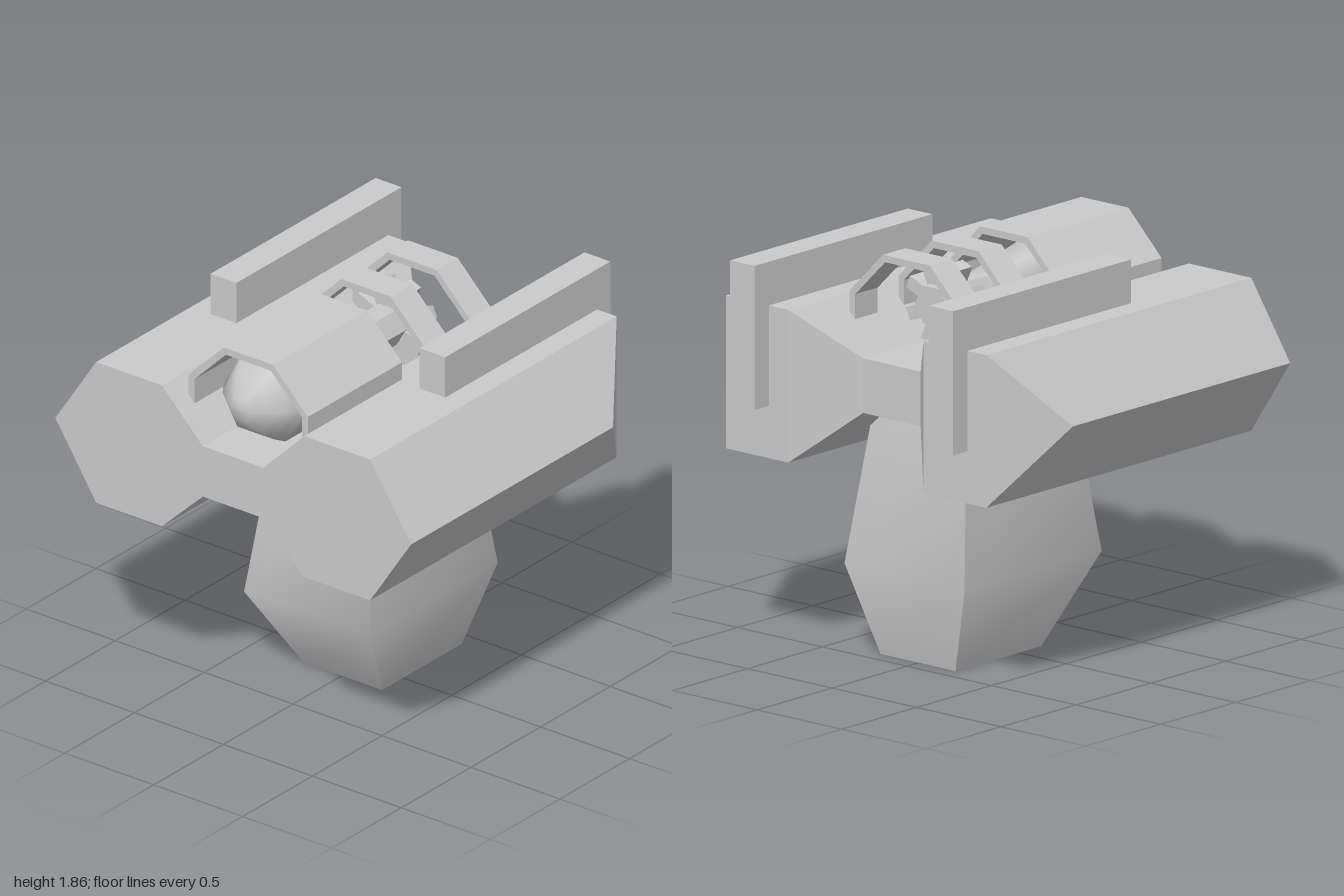
import * as THREE from 'three';
import { toCreasedNormals } from 'three/addons/utils/BufferGeometryUtils.js';

const flat = new THREE.MeshStandardMaterial({ color: 0xcccccc, flatShading: true, side: THREE.DoubleSide });
const smooth = new THREE.MeshStandardMaterial({ color: 0xcccccc, side: THREE.DoubleSide });

function add(parent, name, geometry, material, x = 0, y = 0, z = 0) {
  const mesh = new THREE.Mesh(geometry, material);
  mesh.name = name;
  mesh.position.set(x, y, z);
  parent.add(mesh);
  return mesh;
}

// Twin-pod body: one outline run from the flat front to a faceted back
function bodyGeometry() {
  const outline = [
    [-0.17, 1.15], [0.17, 1.15], [0.4, 0.93], [0.77, 0.93], [1, 1.28], [0.77, 1.63], [0.4, 1.63],
    [0.17, 1.4], [-0.17, 1.4], [-0.4, 1.63], [-0.77, 1.63], [-1, 1.28], [-0.77, 0.93], [-0.4, 0.93],
  ];
  const capCells = [[0, 1, 7, 8], [1, 2, 6, 7], [2, 3, 5, 6], [3, 4, 5], [13, 0, 8, 9], [12, 13, 9, 10], [11, 12, 10]];
  const backZ = (x) => (Math.abs(x) > 0.9 ? -0.52 : Math.abs(x) < 0.2 ? -0.6 : -0.84);
  const front = outline.map(([x, y]) => [x, y, 0.93]);
  const back = outline.map(([x, y]) => [x, y, backZ(x)]);
  const positions = [];
  const face = (pts) => {
    for (let i = 1; i < pts.length - 1; i++) positions.push(...pts[0], ...pts[i], ...pts[i + 1]);
  };
  outline.forEach((_, i) => {
    const j = (i + 1) % outline.length;
    face([front[i], back[i], back[j], front[j]]);
  });
  for (const cell of capCells) {
    face(cell.map((i) => front[i]));
    face(cell.map((i) => back[i]).reverse());
  }
  const g = new THREE.BufferGeometry();
  g.setAttribute('position', new THREE.Float32BufferAttribute(positions, 3));
  g.computeVertexNormals();
  return g;
}

// Tapered grip: a box whose three rows of corners are moved to their sections
function gripGeometry() {
  const rows = [
    { y: 0, half: 0.222, back: -0.42, front: 0.15 },
    { y: 0.41, half: 0.355, back: -0.51, front: 0.405 },
    { y: 1.2, half: 0.265, back: -0.395, front: 0.29 },
  ];
  const g = new THREE.BoxGeometry(2, 2, 2, 1, 2, 1);
  const p = g.attributes.position;
  for (let i = 0; i < p.count; i++) {
    const row = rows[Math.round(p.getY(i)) + 1];
    p.setXYZ(i, p.getX(i) * row.half, row.y, p.getZ(i) > 0 ? row.front : row.back);
  }
  return toCreasedNormals(g, 0.85);
}

// Upper half of an octagonal ring, extruded along z
function hoodGeometry(length) {
  const arch = (r, base) => {
    const c = r * Math.tan(Math.PI / 8);
    return [[r, base], [r, c], [c, r], [-c, r], [-r, c], [-r, base]];
  };
  const points = [...arch(0.335, -0.06), ...arch(0.303, -0.06).reverse()];
  const shape = new THREE.Shape(points.map(([x, y]) => new THREE.Vector2(x, y)));
  return new THREE.ExtrudeGeometry(shape, { depth: length, bevelEnabled: false });
}

// Six-sided turned part lying along z, given as [radius, z] pairs
function turned(profile) {
  const g = new THREE.LatheGeometry(profile.map(([r, z]) => new THREE.Vector2(r, z)), 6, Math.PI / 6);
  return g.rotateX(Math.PI / 2);
}

export function createModel() {
  const model = new THREE.Group();
  model.name = 'twinPodDevice';

  add(model, 'body', bodyGeometry(), flat);
  add(model, 'grip', gripGeometry(), smooth, 0.005);

  // L-shaped rails over the pods, hooked down their back ends
  const rail = new THREE.Shape([[-0.25, 1.62], [-0.25, 1.83], [0.935, 1.83], [0.935, 1.17], [0.835, 1.17], [0.835, 1.62]]
    .map(([x, y]) => new THREE.Vector2(x, y)));
  const railGeometry = new THREE.ExtrudeGeometry(rail, { depth: 0.145, bevelEnabled: false });
  railGeometry.translate(0, 0, -0.0725).rotateY(Math.PI / 2);
  for (const side of [1, -1]) add(model, side > 0 ? 'leftRail' : 'rightRail', railGeometry, flat, side * 0.587);

  // Hoods arching over the core
  const hoods = [['frontHood', 0.15, 0.825], ['middleHood', -0.175, -0.02], ['rearHood', -0.5, -0.35]];
  for (const [name, z0, z1] of hoods) add(model, name, hoodGeometry(z1 - z0), flat, 0.003, 1.525, z0);

  // Core: rounded nose, tapering casing, plain tail and ring of fins
  const core = new THREE.Group();
  core.name = 'core';
  core.position.y = 1.615;
  model.add(core);
  add(core, 'nose', turned([[0.19, 0.76], [0.165, 0.795], [0.13, 0.825], [0.06, 0.88], [0, 0.885]]), smooth);
  add(core, 'casing', turned([[0.1, -0.02], [0.135, 0.15], [0.225, 0.59], [0.225, 0.7], [0.19, 0.76]]), smooth);
  add(core, 'tail', turned([[0, -0.335], [0.1, -0.335], [0.1, -0.02]]), flat);
  const fins = 8;
  for (let i = 0; i < fins; i++) {
    const a = ((i + 0.5) / fins) * Math.PI * 2;
    const fin = add(core, 'fin', new THREE.BoxGeometry(0.12, 0.06, 0.11), flat,
      0.135 * Math.cos(a), 0.135 * Math.sin(a), -0.235);
    fin.rotation.z = a;
  }
  return model;
}
